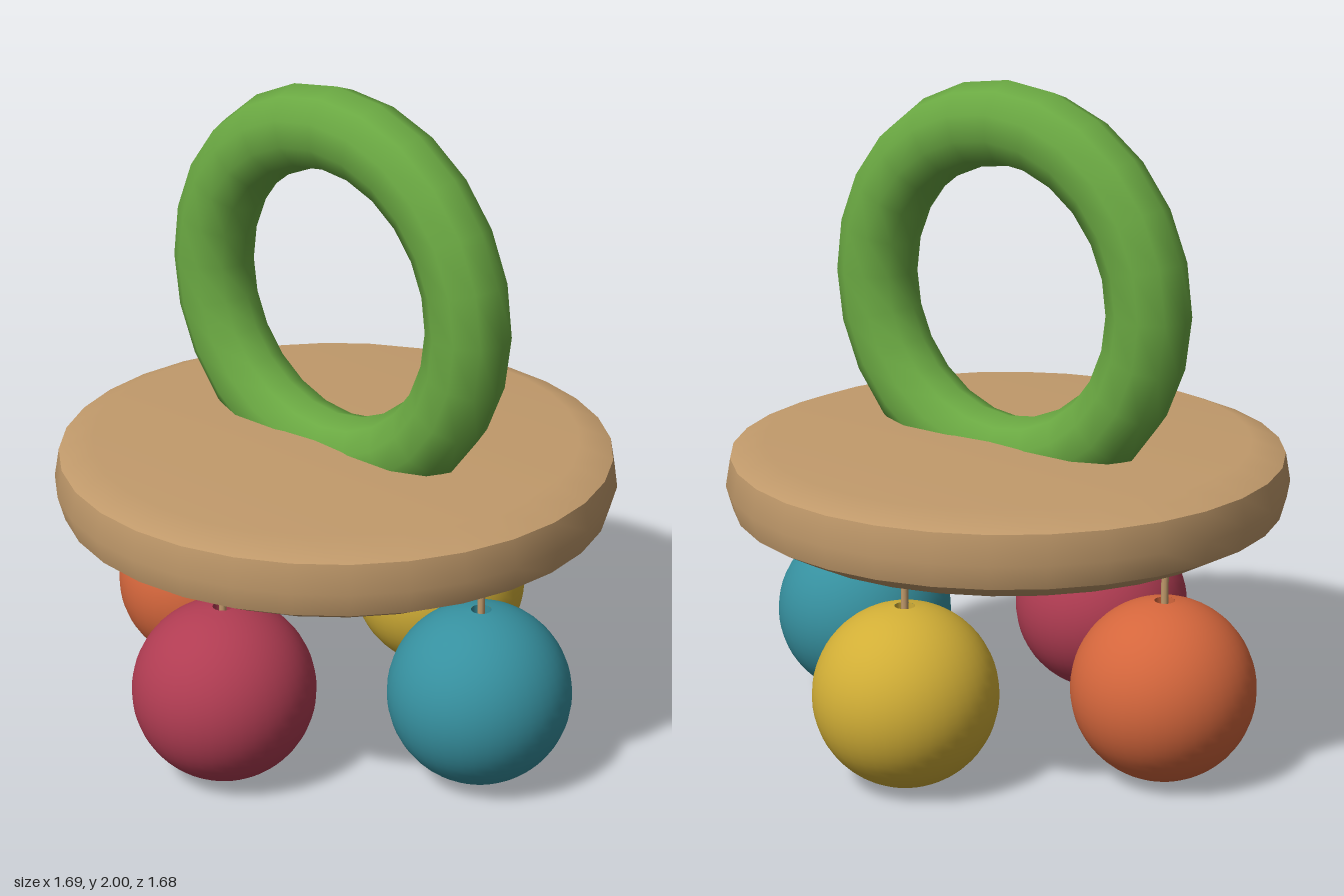
import * as THREE from 'three';

const material = (name, color) => {
  const m = new THREE.MeshStandardMaterial({ color });
  m.name = name;
  return m;
};

const part = (name, geometry, mat, y = 0) => {
  const mesh = new THREE.Mesh(geometry, mat);
  mesh.name = name;
  mesh.position.y = y;
  return mesh;
};

const lathe = (points, segments) =>
  new THREE.LatheGeometry(points.map(([x, y]) => new THREE.Vector2(x, y)), segments);

// Bead profile: outer arc, closed by the wall of a straight bore
const BEAD_R = 0.2725, BORE_R = 0.03;
const BEAD_H = Math.sqrt(BEAD_R ** 2 - BORE_R ** 2);

function beadOuter() {
  const start = Math.asin(BORE_R / BEAD_R), steps = 28, points = [];
  for (let i = 0; i <= steps; i++) {
    const a = start + (Math.PI - 2 * start) * i / steps;
    points.push([BEAD_R * Math.sin(a), -BEAD_R * Math.cos(a)]);
  }
  return lathe(points, 40);
}

export function createModel() {
  const model = new THREE.Group();
  model.name = 'hangingBeadToy';

  const wood = material('wood', 0xc19a6b);
  const green = material('green', 0x6aa842);

  // Wooden disc: smooth top, rim and underside meeting at sharp edges
  const disc = new THREE.Group();
  disc.name = 'disc';
  disc.add(
    part('discUnderside', lathe([[0, 0.69], [0.725, 0.69], [0.82, 0.742]], 32), wood),
    part('discRim', lathe([[0.82, 0.742], [0.84, 0.815], [0.825, 0.9]], 32), wood),
    part('discTop', lathe([[0.825, 0.9], [0.725, 0.94], [0, 0.94]], 32), wood)
  );
  model.add(disc);

  // Ring handle, slightly flattened front to back and sunk into the disc
  const ring = part('ringHandle', new THREE.TorusGeometry(0.5, 0.125, 10, 24), green, 1.375);
  ring.scale.z = 0.94;
  model.add(ring);

  // Four beads hanging on cords
  const outer = beadOuter();
  const bore = lathe([[BORE_R, BEAD_H], [BORE_R, -BEAD_H]], 16);
  const cord = new THREE.CylinderGeometry(0.011, 0.011, 0.45, 8);
  const beads = [
    ['orange', 0xd4663c, -0.57, 0],
    ['red', 0xb03c52, 0, 0.49],
    ['teal', 0x36909f, 0.57, 0],
    ['yellow', 0xd1ae36, 0, -0.49],
  ];
  for (const [name, color, x, z] of beads) {
    const mat = material(name, color);
    const hanging = new THREE.Group();
    hanging.name = name + 'Pendant';
    hanging.position.set(x, 0, z);
    hanging.add(
      part(name + 'Bead', outer, mat, BEAD_H),
      part(name + 'BeadBore', bore, mat, BEAD_H),
      part(name + 'Cord', cord, wood, 0.5)
    );
    model.add(hanging);
  }
  return model;
}
